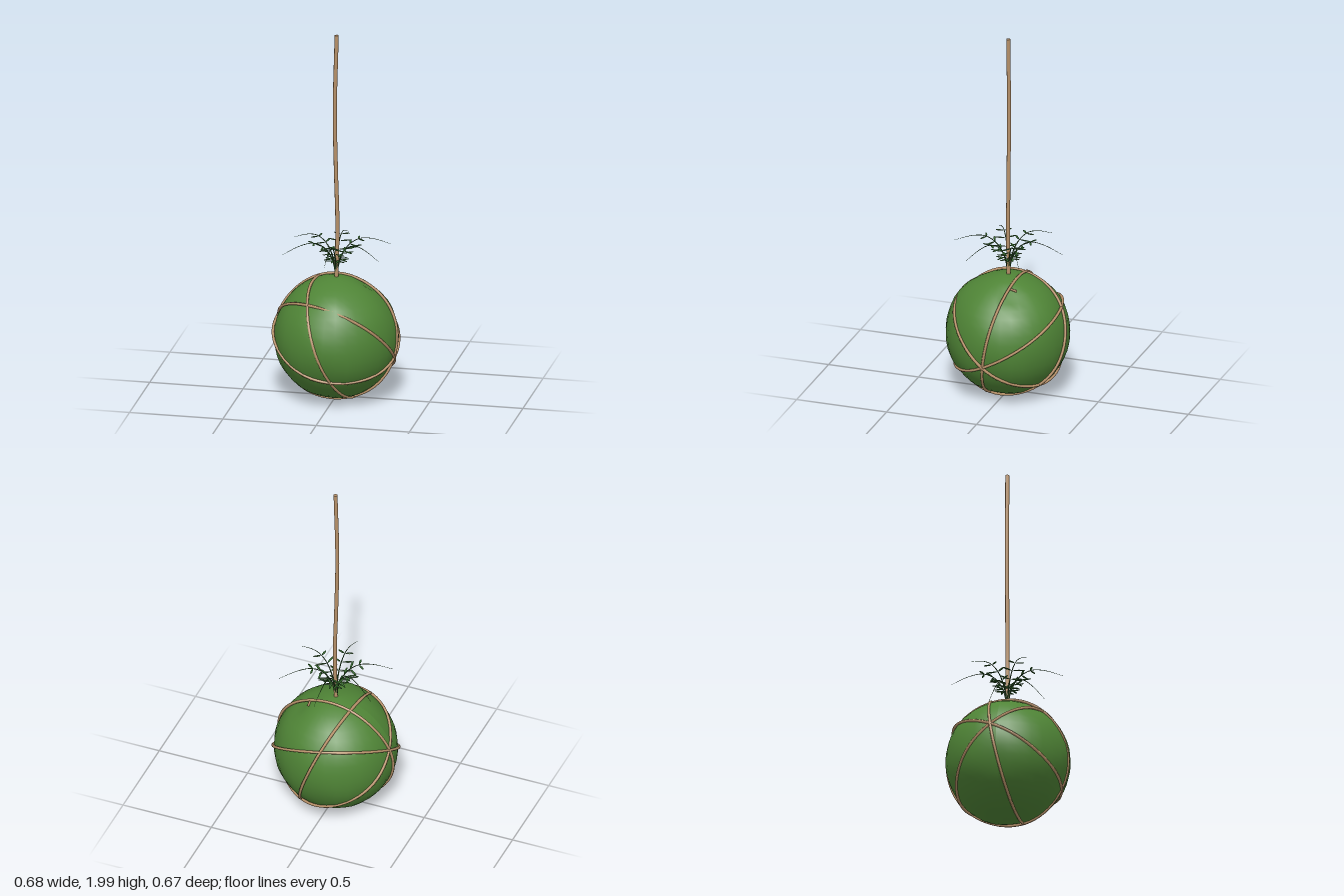
import * as THREE from 'three';

const V = (x, y, z) => new THREE.Vector3(x, y, z);
const mat = (name, color) => Object.assign(new THREE.MeshStandardMaterial({ color }), { name });

export function createModel() {
  const moss = mat('moss green', 0x4f8436);
  const twine = mat('twine tan', 0xb8926a);
  const leaf = mat('fern green', 0x376e2e);
  const stem = mat('stem green', 0x2d5a27);

  const model = new THREE.Group();
  model.name = 'hangingMossBall';
  const add = (parent, name, geometry, material) => {
    const mesh = new THREE.Mesh(geometry, material);
    mesh.name = name;
    parent.add(mesh);
    return mesh;
  };
  const centre = V(0, 0.338, 0);

  // Moss ball: a sphere with soft lumps and one dent
  const lumps = [
    [V(0.05, 0.23, 0.25), 0.012, 25],
    [V(-0.02, -0.02, 0.33), 0.006, 8],
    [V(0.17, 0.27, -0.06), -0.018, 60],
    [V(0.2, -0.1, -0.25), -0.006, 10],
    [V(0, 0.03, -0.33), -0.006, 12],
    [V(-0.25, 0.2, 0.15), -0.005, 12],
  ];
  lumps.forEach(l => l[0].normalize());
  const ballGeo = new THREE.SphereGeometry(1, 32, 22);
  const pos = ballGeo.attributes.position;
  const p = V(0, 0, 0);
  for (let i = 0; i < pos.count; i++) {
    p.fromBufferAttribute(pos, i).normalize();
    let r = 0.328 + 0.003 * Math.sin(7 * p.x + 2) * Math.sin(6 * p.y + 1) * Math.cos(7 * p.z);
    for (const [d, amount, k] of lumps) r += amount * Math.exp(k * (p.dot(d) - 1));
    pos.setXYZ(i, p.x * r, p.y * r, p.z * r);
  }
  ballGeo.computeVertexNormals();
  add(model, 'mossBall', ballGeo, moss).position.copy(centre);

  // Twine wraps: great circles, each through two points on the ball
  const knot = V(0.325, -0.09, 0.035);
  const wraps = [
    [knot, V(0.07, -0.17, 0.274)],
    [knot, V(0, 0.225, 0.25)],
    [knot, V(0, 0.32, -0.06)],
    [V(-0.115, 0.31, 0), V(-0.04, 0, 0.33)],
  ];
  wraps.forEach(([a, b], n) => {
    const u = a.clone().normalize();
    const w = b.clone().addScaledVector(u, -b.dot(u)).normalize();
    const pts = [];
    for (let i = 0; i < 24; i++) {
      const t = i / 24 * Math.PI * 2;
      const r = 0.331 + 0.002 * Math.sin(5 * t + n * 2);
      pts.push(V(0, 0, 0).addScaledVector(u, r * Math.cos(t)).addScaledVector(w, r * Math.sin(t)));
    }
    const curve = new THREE.CatmullRomCurve3(pts, true);
    add(model, 'twineWrap', new THREE.TubeGeometry(curve, 64, 0.0078, 6, true), twine).position.copy(centre);
  });

  // Loose twine end beside the plant
  const end = new THREE.LineCurve3(V(0.122, 0.625, -0.09), V(0.125, 0.637, -0.045));
  add(model, 'twineEnd', new THREE.TubeGeometry(end, 1, 0.006, 6), twine);

  // Hanging cord with a slight sway
  const cordPath = new THREE.CatmullRomCurve3([
    V(0, 0.65, 0), V(0.006, 0.95, 0), V(-0.002, 1.25, 0), V(-0.008, 1.58, 0), V(0.002, 2, 0)]);
  add(model, 'hangingCord', new THREE.TubeGeometry(cordPath, 24, 0.011, 8), twine);
  const cap = add(model, 'cordTop', new THREE.CircleGeometry(0.011, 8), twine);
  cap.rotation.x = -Math.PI / 2;
  cap.position.set(0.002, 2, 0);

  // Fern: six arching fronds, each a tapering stalk with paired leaflets
  const stalk = new THREE.CatmullRomCurve3([
    V(0, 0.655, 0.004), V(0, 0.72, 0.01), V(0, 0.78, 0.03), V(0, 0.835, 0.07),
    V(0, 0.863, 0.13), V(0, 0.855, 0.2), V(0, 0.815, 0.3)]);
  const STEPS = 24, SIDES = 5;
  const stalkGeo = new THREE.TubeGeometry(stalk, STEPS, 0.0045, SIDES);
  const sp = stalkGeo.attributes.position;
  for (let i = 0; i < sp.count; i++) {
    const t = Math.floor(i / (SIDES + 1)) / STEPS;
    const c = stalk.getPointAt(t);
    p.fromBufferAttribute(sp, i).sub(c).multiplyScalar(1 - 0.85 * t).add(c);
    sp.setXYZ(i, p.x, p.y, p.z);
  }
  const leafGeo = new THREE.SphereGeometry(1, 6, 4);
  leafGeo.rotateZ(Math.PI / 2);
  // Leaflet pairs: position along the stalk and length
  const pairs = [[0.24, 0.055], [0.35, 0.064], [0.46, 0.066], [0.58, 0.045]];

  const fern = new THREE.Group();
  fern.name = 'fern';
  model.add(fern);
  for (let k = 0; k < 6; k++) {
    const frond = new THREE.Group();
    frond.name = 'frond';
    frond.rotation.y = k * Math.PI / 3;
    fern.add(frond);
    add(frond, 'stalk', stalkGeo, stem);
    for (const [t, len] of pairs) {
      const c = stalk.getPointAt(t);
      for (const s of [-1, 1]) {
        const m = add(frond, 'leaflet', leafGeo, leaf);
        m.scale.set(len / 2, 0.0035, 0.006);
        m.rotation.y = -s * 0.4;
        m.position.set(s * (0.003 + len * 0.46), c.y, c.z + len * 0.2);
      }
    }
  }
  return model;
}
